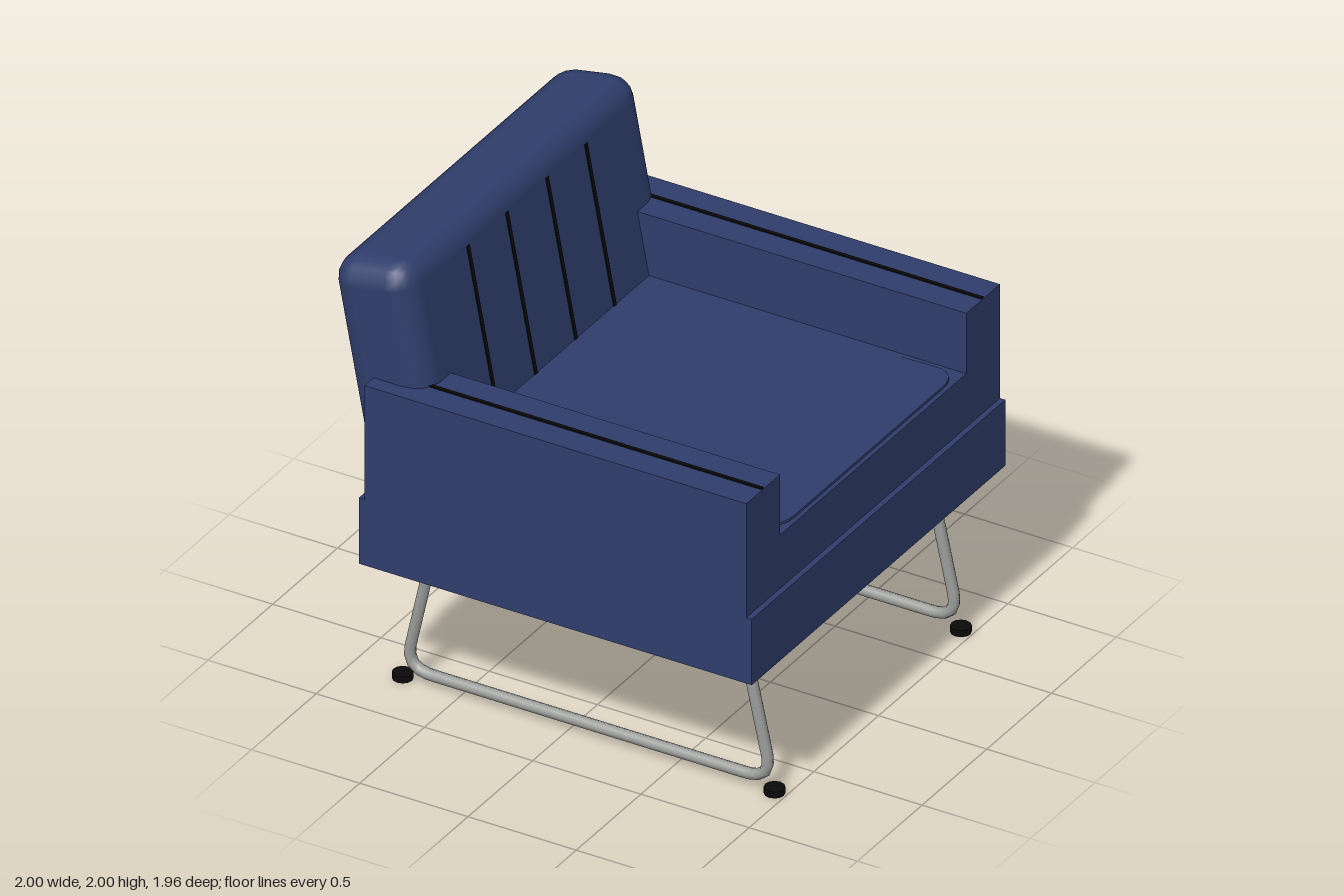
import * as THREE from 'three';
import { RoundedBoxGeometry } from 'three/addons/geometries/RoundedBoxGeometry.js';

const material = (name, color) => new THREE.MeshStandardMaterial({ name, color });

export function createModel() {
  const navy = material('navy upholstery', 0x2f3d6b);
  const black = material('black trim', 0x0a0a0a);
  const steel = material('steel tube', 0x9a9c9a);
  const chair = new THREE.Group();
  chair.name = 'armchair';

  const add = (name, geometry, mat, parent = chair) => {
    const mesh = new THREE.Mesh(geometry, mat);
    mesh.name = name;
    parent.add(mesh);
    return mesh;
  };
  // Box given by its minimum and maximum corners
  const box = (name, mat, [x0, y0, z0], [x1, y1, z1], parent) => {
    const geometry = new THREE.BoxGeometry(x1 - x0, y1 - y0, z1 - z0);
    geometry.translate((x0 + x1) / 2, (y0 + y1) / 2, (z0 + z1) / 2);
    return add(name, geometry, mat, parent);
  };

  // Body: the seat looks towards +x
  box('base', navy, [-0.815, 0.65, -0.98], [1, 0.955, 0.98]);
  box('seatBlock', navy, [-0.79, 0.955, -0.72], [0.975, 1.203, 0.72]);

  // Seat cushion, tilted so only its rounded front rises above the block
  const outline = new THREE.Shape();
  outline.moveTo(-1.3, -0.695);
  outline.lineTo(-0.12, -0.695);
  outline.quadraticCurveTo(0, -0.695, 0, -0.575);
  outline.lineTo(0, 0.575);
  outline.quadraticCurveTo(0, 0.695, -0.12, 0.695);
  outline.lineTo(-1.3, 0.695);
  const cushionGeometry = new THREE.ExtrudeGeometry(outline, { depth: 0.1, bevelEnabled: false, curveSegments: 5 });
  cushionGeometry.rotateX(Math.PI / 2);
  const cushion = add('seatCushion', cushionGeometry, navy);
  cushion.position.set(0.955, 1.214, 0);
  cushion.rotation.z = 0.03;

  // Backrest with four dark seams, leaning back
  const backrest = new THREE.Group();
  backrest.name = 'backrest';
  backrest.position.set(-0.733, 1.462, 0);
  backrest.rotation.z = 0.188;
  chair.add(backrest);
  add('backCushion', new RoundedBoxGeometry(0.378, 1.07, 1.82, 2, 0.11), navy, backrest);
  for (const z of [-0.455, -0.155, 0.155, 0.455]) {
    box('backSeam', black, [0.186, -0.32, z - 0.01], [0.193, 0.42, z + 0.01], backrest);
  }

  // Side frame path, from the rear top round the floor to the front top
  const p = (x, y) => new THREE.Vector3(x, y, 0);
  const path = new THREE.CurvePath();
  path.add(new THREE.LineCurve3(p(-0.622, 0.66), p(-0.73, 0.17)));
  path.add(new THREE.QuadraticBezierCurve3(p(-0.73, 0.17), p(-0.755, 0.055), p(-0.63, 0.055)));
  path.add(new THREE.LineCurve3(p(-0.63, 0.055), p(0.815, 0.055)));
  path.add(new THREE.QuadraticBezierCurve3(p(0.815, 0.055), p(0.94, 0.055), p(0.915, 0.17)));
  path.add(new THREE.LineCurve3(p(0.915, 0.17), p(0.807, 0.66)));
  const railGeometry = new THREE.TubeGeometry(path, 72, 0.025, 8);

  // Arms, side frames and feet on both sides
  for (const side of [-1, 1]) {
    const z = side * 0.85;
    box('arm', navy, [-0.79, 0.955, z - 0.13], [0.975, 1.483, z + 0.13]);
    box('armSeam', black, [-0.65, 1.481, z - 0.008], [0.972, 1.489, z + 0.008]);
    add('sideFrame', railGeometry, steel).position.z = side * 0.72;
    for (const x of [-0.768, 0.95]) {
      add('foot', new THREE.CylinderGeometry(0.043, 0.043, 0.03, 12), black).position.set(x, 0.015, side * 0.72);
    }
  }

  // Cross bars under the base
  for (const x of [-0.625, 0.81]) {
    const bar = add('crossBar', new THREE.CylinderGeometry(0.025, 0.025, 1.44, 8), steel);
    bar.rotation.x = Math.PI / 2;
    bar.position.set(x, 0.65, 0);
  }
  return chair;
}
